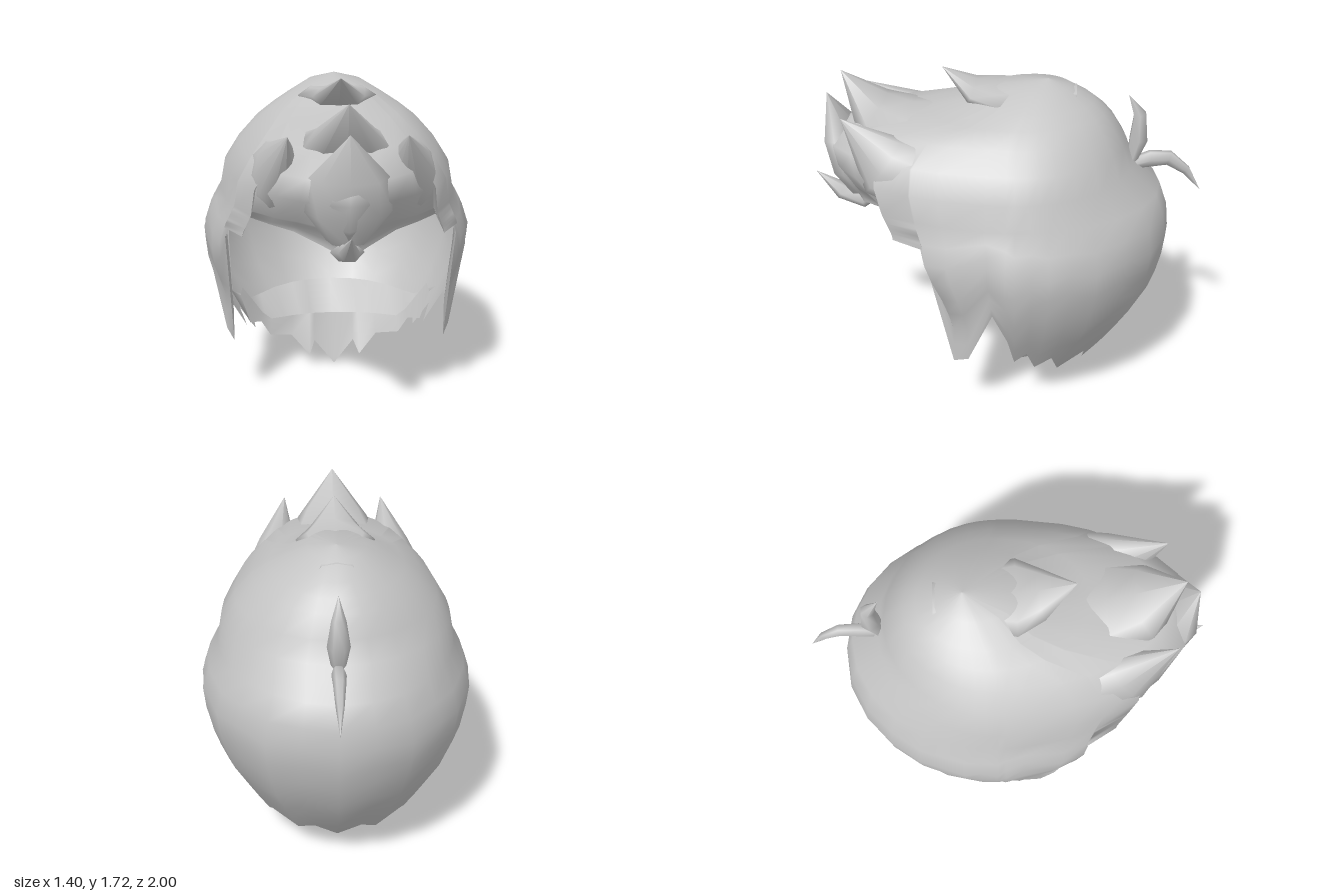
import * as THREE from 'three';

const hair = new THREE.MeshStandardMaterial({ color: 0xc4c4c4, side: THREE.DoubleSide });
hair.name = 'hair grey';

// Horizontal sections of the cap: [y, half width, front z, back z, centre z]
const RINGS = [
  [1.67, 0.0, -0.21, -0.21, -0.21],
  [1.64, 0.14, 0.06, -0.32, -0.15],
  [1.57, 0.26, 0.2, -0.44, -0.1],
  [1.52, 0.34, 0.4, -0.5, -0.07],
  [1.46, 0.42, 0.78, -0.55, -0.05],
  [1.36, 0.51, 0.92, -0.61, -0.05],
  [1.25, 0.58, 0.93, -0.65, -0.05],
  [1.12, 0.605, 0.88, -0.79, -0.05],
  [1.02, 0.66, 0.8, -0.83, -0.05],
  [0.9, 0.7, 0.78, -0.85, -0.05],
  [0.74, 0.685, 0.63, -0.83, -0.05],
  [0.54, 0.62, 0.52, -0.76, -0.05],
  [0.32, 0.5, 0.53, -0.62, -0.05],
  [0.13, 0.4, 0.5, -0.46, -0.05],
  [0.0, 0.3, 0.45, -0.36, -0.05],
];

// Lower edge of the cap: [angle from the front in degrees, y]
const HEM = [
  [0, 0.96], [8, 1.0], [22, 1.05], [34, 1.07], [46, 1.08], [47, 1.0], [60, 1.0],
  [60.5, 0.34], [69, 0.38], [83, 0.69], [89, 0.5], [92, 0.3], [98, 0.38], [104, 0.24],
  [112, 0.31], [122, 0.18], [135, 0.28], [150, 0.15], [165, 0.25], [180, 0.13],
];

// Point on the cap at an angle and height
function capPoint(deg, y) {
  let i = 1;
  while (i < RINGS.length - 1 && RINGS[i][0] > y) i++;
  const a = RINGS[i - 1], b = RINGS[i];
  const t = (y - a[0]) / (b[0] - a[0]);
  let [w, zf, zb, zc] = [1, 2, 3, 4].map((k) => a[k] + (b[k] - a[k]) * t);
  const s = Math.sin(deg * Math.PI / 180), c = Math.cos(deg * Math.PI / 180);
  const turn = Math.abs(deg);
  if (turn < 88 && y < 0.74) w = Math.max(w, 0.63);
  // the brow is drawn back on both sides of the middle
  const fade = THREE.MathUtils.clamp((1.32 - y) / 0.25, 0, 1);
  const brow = turn < 46.5 ? 1 - 0.17 * Math.min(1, turn / 20) * fade : 1;
  return [w * s, y, zc + (c > 0 ? zf - zc : zc - zb) * c * brow];
}

// Joins equal rows of points into one smooth surface
function surface(name, rows, closed) {
  const n = rows[0].length, index = [];
  for (let r = 0; r < rows.length - 1; r++) {
    for (let j = 0; j < (closed ? n : n - 1); j++) {
      const k = (j + 1) % n;
      const a = r * n + j, b = r * n + k, c = a + n, d = b + n;
      index.push(a, c, b, b, c, d);
    }
  }
  const g = new THREE.BufferGeometry();
  g.setAttribute('position', new THREE.Float32BufferAttribute(rows.flat(2), 3));
  g.setIndex(index);
  g.computeVertexNormals();
  const mesh = new THREE.Mesh(g, hair);
  mesh.name = name;
  return mesh;
}

// Tapered lock along a path of [x, y, z, half width, half depth]
function lock(name, path, sides = 6) {
  const rows = path.map((p, i) => {
    const a = path[Math.max(i - 1, 0)], b = path[Math.min(i + 1, path.length - 1)];
    const t = new THREE.Vector3(0, b[1] - a[1], b[2] - a[2]).normalize();
    const row = [];
    for (let j = 0; j < sides; j++) {
      const u = j / sides * Math.PI * 2;
      const d = Math.sin(u) * p[4];
      row.push([p[0] + Math.cos(u) * p[3], p[1] + t.z * d, p[2] - t.y * d]);
    }
    return row;
  });
  return surface(name, rows, true);
}

export function createModel() {
  const group = new THREE.Group();
  group.name = 'hairstyle';

  // Main cap with its jagged hem
  const left = HEM.slice(1, -1).map(([d, y]) => [-d, y]).reverse();
  const columns = [...left, ...HEM];
  const rows = RINGS.slice(0, 8).map(([y]) => columns.map(([d]) => capPoint(d, y)));
  const steps = 8;
  for (let s = 1; s <= steps; s++) {
    rows.push(columns.map(([d, hem]) => capPoint(d, 1.12 + (hem - 1.12) * s / steps)));
  }
  group.add(surface('cap', rows, true));

  // Nape locks curling forward under the back: [angle, x, y, z] of the lower edge
  const half = [
    [98, 0.52, 0.47, -0.08], [106, 0.47, 0.31, -0.08], [116, 0.41, 0.29, -0.14],
    [126, 0.36, 0.2, -0.16], [140, 0.24, 0.17, -0.22], [154, 0.14, 0.07, -0.16],
    [164, 0.11, 0.13, -0.23],
  ];
  const edge = [
    ...half,
    [180, 0, 0, -0.2],
    ...half.map(([d, x, y, z]) => [360 - d, -x, y, z]).reverse(),
  ];
  const tips = edge.map((e) => e.slice(1));
  const inner = edge.map(([, x]) => {
    const a = Math.abs(x);
    return [x * 0.98, 0.28 + Math.max(0, a - 0.38) * 1.6, -0.28 + a * a * 0.6];
  });
  const outer = edge.map(([d, x]) => {
    const p = capPoint(d, 0.36 + Math.max(0, Math.abs(x) - 0.4));
    return [p[0] * 0.985, p[1], p[2] * 0.985];
  });
  group.add(surface('napeLocks', [outer, tips], false));
  group.add(surface('napeUnderside', [tips, inner], false));

  // Swept crest at the crown
  group.add(lock('crownTuft', [
    [0, 1.59, -0.35, 0.1, 0.04], [0, 1.595, -0.1, 0.17, 0.05], [0, 1.59, 0.04, 0.2, 0.055],
    [0, 1.605, 0.17, 0.13, 0.06], [0, 1.72, 0.32, 0, 0],
  ], 8));

  // Upswept fringe
  group.add(lock('upperFringe', [
    [0, 1.42, 0.1, 0.26, 0.1], [0, 1.41, 0.48, 0.25, 0.12],
    [0, 1.47, 0.68, 0.19, 0.13], [0, 1.69, 0.83, 0, 0],
  ], 8));
  group.add(lock('frontFringe', [
    [0, 1.05, 0.76, 0.1, 0.06], [0, 1.2, 0.81, 0.2, 0.09],
    [0, 1.37, 0.85, 0.18, 0.09], [0, 1.57, 0.91, 0, 0],
  ], 8));

  // Side fringe points sweeping forward from the temples
  for (const s of [1, -1]) {
    group.add(lock(s > 0 ? 'leftFringe' : 'rightFringe', [
      [s * 0.36, 1.2, 0.05, 0.12, 0.18], [s * 0.345, 1.25, 0.38, 0.125, 0.19],
      [s * 0.315, 1.32, 0.58, 0.11, 0.17], [s * 0.27, 1.54, 0.79, 0, 0],
    ], 10));
  }

  // Small curl over the forehead
  group.add(lock('foreheadCurl', [
    [0, 1.03, 0.66, 0.03, 0.03], [0, 0.985, 0.75, 0.08, 0.05],
    [0, 1.02, 0.87, 0.05, 0.045], [0, 1.13, 1, 0, 0],
  ]));

  // Two stray locks behind the crown
  group.add(lock('upperStray', [
    [0, 1.24, -0.64, 0.035, 0.03], [0, 1.36, -0.67, 0.055, 0.05],
    [0, 1.49, -0.67, 0.035, 0.035], [0, 1.59, -0.61, 0, 0],
  ]));
  group.add(lock('lowerStray', [
    [0, 1.22, -0.64, 0.03, 0.03], [0, 1.25, -0.74, 0.035, 0.045],
    [0, 1.255, -0.83, 0.03, 0.04], [0, 1.19, -0.92, 0.02, 0.025], [0, 1.08, -1, 0, 0],
  ]));

  return group;
}
